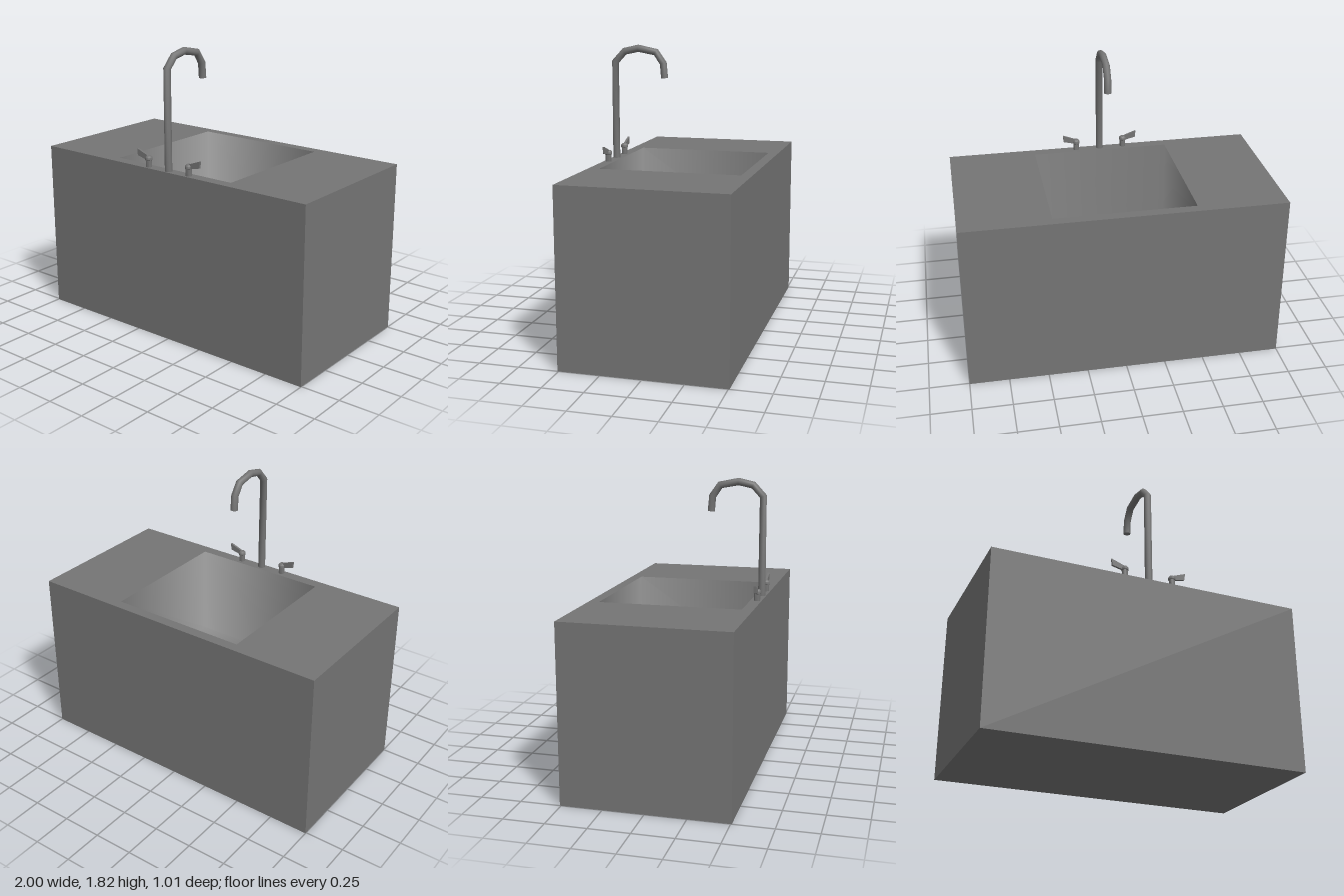
import * as THREE from 'three';
import { mergeVertices, toCreasedNormals } from 'three/addons/utils/BufferGeometryUtils.js';

const W = 2, H = 1.092, D = 1.014;              // cabinet
const BASIN = { w: 0.88, d: 0.88, depth: 0.6, z: -0.002 };
const TAP_Z = 0.478;

const grey = new THREE.MeshStandardMaterial({ color: 0x757575 });
const greyDouble = new THREE.MeshStandardMaterial({ color: 0x757575, side: THREE.DoubleSide });

function addMesh(parent, name, geometry, material = grey) {
  const mesh = new THREE.Mesh(geometry, material);
  mesh.name = name;
  parent.add(mesh);
  return mesh;
}

// Box without its top face
function openBox(w, h, d) {
  const g = new THREE.BoxGeometry(w, h, d);
  const index = Array.from(g.index.array);
  index.splice(12, 6);
  g.setIndex(index);
  g.clearGroups();
  return g;
}

function rectangle(target, w, d, z = 0) {
  return target.setFromPoints([[-1, -1], [1, -1], [1, 1], [-1, 1]]
    .map(([a, b]) => new THREE.Vector2(a * w / 2, b * d / 2 - z)));
}

// Inward-facing basin; every corner normal leans up and to the middle for soft shading
function basinGeometry() {
  let g = openBox(BASIN.w, BASIN.depth, BASIN.d);
  g.deleteAttribute('normal');
  g.deleteAttribute('uv');
  g = mergeVertices(g);
  g.setIndex(Array.from(g.index.array).reverse());
  const position = g.attributes.position;
  const normals = [];
  for (let i = 0; i < position.count; i++) {
    const n = new THREE.Vector3(-Math.sign(position.getX(i)), 1, -Math.sign(position.getZ(i)));
    normals.push(...n.normalize().toArray());
  }
  g.setAttribute('normal', new THREE.Float32BufferAttribute(normals, 3));
  return g;
}

// Gooseneck spout: a straight upright followed by a faceted arch
function addSpout(parent) {
  const radius = 0.023;
  const points = [
    [TAP_Z, H], [TAP_Z, 1.71], [0.416, 1.777], [0.324, 1.797],
    [0.208, 1.774], [0.16, 1.705], [0.152, 1.612],
  ].map(([z, y]) => new THREE.Vector3(0, y, z));
  const path = new THREE.CatmullRomCurve3(points);
  path.getPointAt = path.getPoint;               // one ring per point
  path.getTangentAt = path.getTangent;
  const spout = new THREE.Group();
  spout.name = 'spout';
  parent.add(spout);
  addMesh(spout, 'spoutPipe', new THREE.TubeGeometry(path, points.length - 1, radius, 12));
  const cap = addMesh(spout, 'spoutOutlet', new THREE.CircleGeometry(radius, 12), greyDouble);
  cap.position.copy(points.at(-1));
  cap.quaternion.setFromUnitVectors(new THREE.Vector3(0, 0, 1), path.getTangent(1));
}

// Tap handle: round stem with a flaring flat lever pointing outwards
function addHandle(parent, side) {
  const handle = new THREE.Group();
  handle.name = side > 0 ? 'leftHandle' : 'rightHandle';
  handle.position.set(side * 0.158, H, TAP_Z);
  if (side < 0) handle.rotation.y = Math.PI;
  parent.add(handle);

  const profile = [[0.019, 0], [0.019, 0.042], [0.023, 0.045], [0.023, 0.06], [0.015, 0.07], [0, 0.073]]
    .map(([r, y]) => new THREE.Vector2(r, y));
  addMesh(handle, 'handleStem', toCreasedNormals(new THREE.LatheGeometry(profile, 12), 0.7));

  const outline = new THREE.Shape([[0, 0.04], [0.084, 0.06], [0.088, 0.103], [0, 0.07]]
    .map(([x, y]) => new THREE.Vector2(x, y)));
  const lever = new THREE.ExtrudeGeometry(outline, { depth: 0.014, bevelEnabled: false });
  lever.translate(0, 0, -0.007);
  addMesh(handle, 'handleLever', lever);
}

export function createModel() {
  const model = new THREE.Group();
  model.name = 'sinkUnit';

  // Cabinet body and worktop with a cut-out
  addMesh(model, 'cabinet', openBox(W, H, D)).position.y = H / 2;
  const top = rectangle(new THREE.Shape(), W, D);
  top.holes.push(rectangle(new THREE.Path(), BASIN.w, BASIN.d, BASIN.z));
  const worktop = addMesh(model, 'worktop', new THREE.ShapeGeometry(top));
  worktop.rotation.x = -Math.PI / 2;
  worktop.position.y = H;

  // Basin
  addMesh(model, 'basin', basinGeometry()).position.set(0, H - BASIN.depth / 2, BASIN.z);

  // Taps
  addSpout(model);
  for (const side of [1, -1]) addHandle(model, side);
  return model;
}
